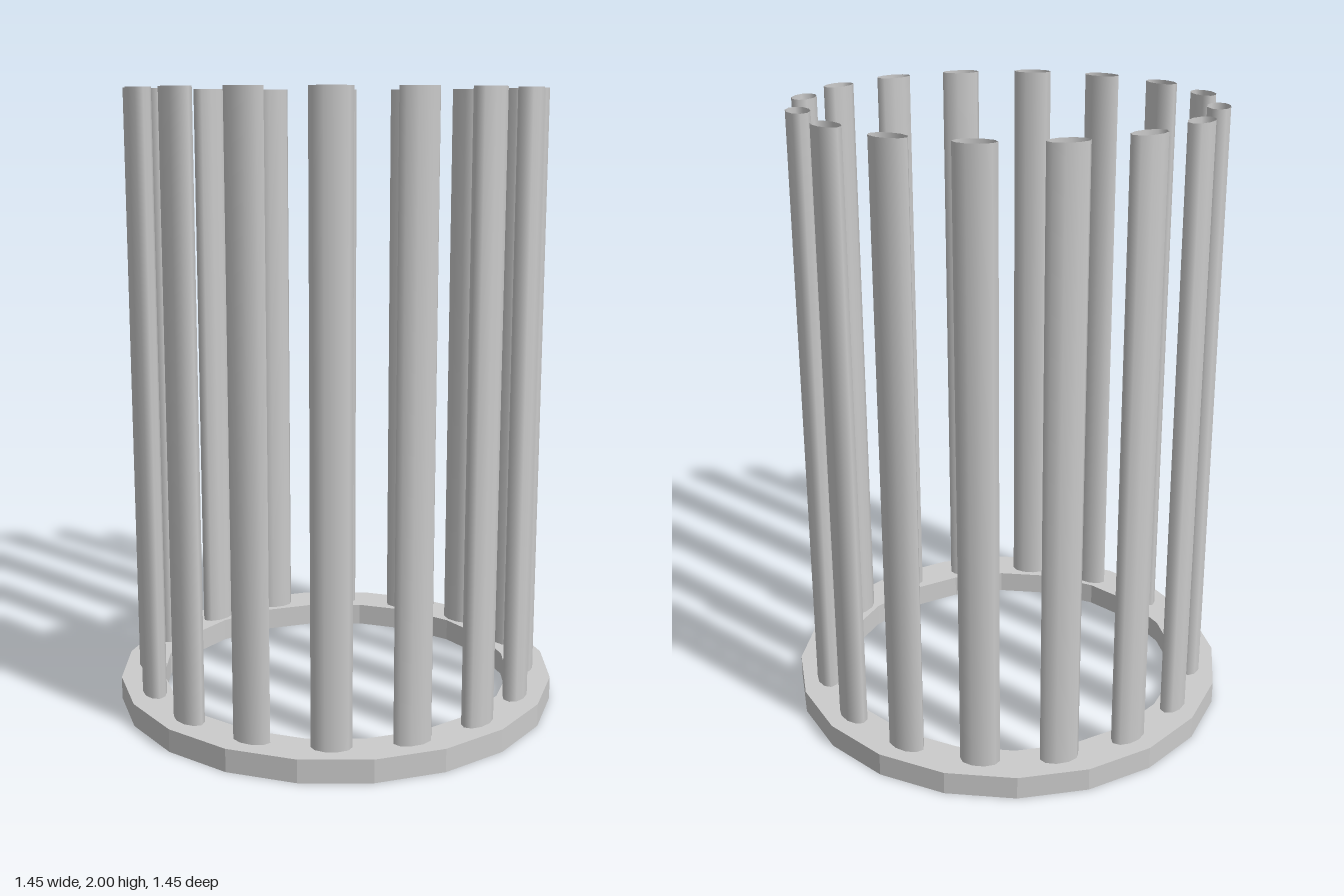
import * as THREE from 'three';

export function createModel() {
  const group = new THREE.Group();
  const flat = new THREE.MeshStandardMaterial({ color: 0xcccccc, flatShading: true, side: THREE.DoubleSide });
  const smooth = new THREE.MeshStandardMaterial({ color: 0xcccccc, side: THREE.DoubleSide });

  // Base ring: a channel of 20 sides, open underneath
  const ringHeight = 0.075, outer = 0.724, inner = 0.583;
  const profile = [[outer, 0], [outer, ringHeight], [inner, ringHeight], [inner, 0]]
    .map(([r, y]) => new THREE.Vector2(r, y));
  const ring = new THREE.Mesh(new THREE.LatheGeometry(profile, 20), flat);
  ring.name = 'baseRing';
  group.add(ring);

  // Bars: flattened open tubes standing on the ring, wide side facing outwards
  const count = 16, barHeight = 2 - ringHeight, barRadius = 0.633;
  const barGeometry = new THREE.CylinderGeometry(1, 1, barHeight, 10, 1, true, Math.PI / 2);
  barGeometry.scale(0.0625, 1, 0.037);
  const bars = new THREE.Group();
  bars.name = 'bars';
  for (let i = 0; i < count; i++) {
    const angle = ((i + 0.75) / count) * Math.PI * 2;
    const bar = new THREE.Mesh(barGeometry, smooth);
    bar.name = `bar${i + 1}`;
    bar.position.set(Math.sin(angle) * barRadius, ringHeight + barHeight / 2, Math.cos(angle) * barRadius);
    bar.rotation.y = angle;
    bars.add(bar);
  }
  group.add(bars);
  return group;
}
